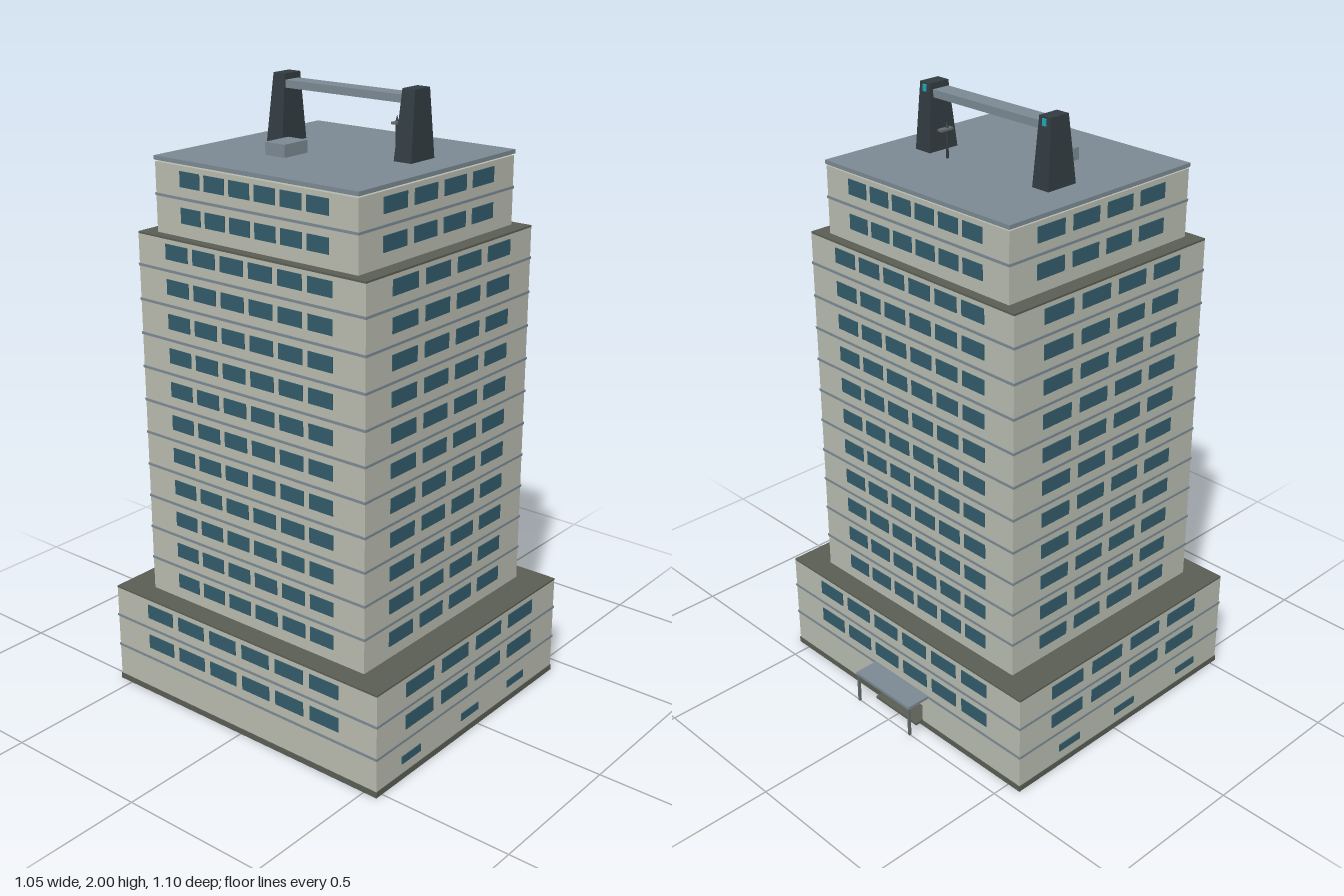
import * as THREE from 'three';

const mat = (name, color) => Object.assign(new THREE.MeshStandardMaterial({ color }), { name });

export function createModel() {
  const wall = mat('concrete', 0xb9bcb0);
  const ledge = mat('olive stone', 0x5a5e54);
  const steel = mat('blue grey metal', 0x7c8a93);
  const glass = mat('window glass', 0x335c6b);
  const dark = mat('dark metal', 0x323c42);
  const post = mat('grey metal', 0x666b6c);
  const glow = mat('cyan light', 0x22a9b8);

  const root = new THREE.Group();
  root.name = 'officeTower';
  const CX = -0.044; // the tower stands off-centre, leaving room for the canopy

  const add = (name, geometry, material, parent = root) => {
    const m = new THREE.Mesh(geometry, material);
    m.name = name;
    parent.add(m);
    return m;
  };
  // Box given by its min and max on each axis
  const box = (name, material, x0, x1, y0, y1, z0, z1, parent) => {
    const m = add(name, new THREE.BoxGeometry(x1 - x0, y1 - y0, z1 - z0), material, parent);
    m.position.set((x0 + x1) / 2, (y0 + y1) / 2, (z0 + z1) / 2);
    return m;
  };
  const slab = (name, material, w, d, y0, y1, parent) =>
    box(name, material, CX - w / 2, CX + w / 2, y0, y1, -d / 2, d / 2, parent);

  // Stepped tiers: width, depth, bottom, top, first and last floor
  const tiers = [
    { name: 'base', w: 0.962, d: 1.094, y0: 0.12, y1: 0.348, f0: 0, f1: 1 },
    { name: 'shaft', w: 0.819, d: 0.884, y0: 0.348, y1: 1.556, f0: 2, f1: 12 },
    { name: 'crown', w: 0.755, d: 0.779, y0: 1.556, y1: 1.778, f0: 13, f1: 14 },
  ];
  const PITCH = 0.11;

  for (const t of tiers) {
    const g = new THREE.Group();
    g.name = t.name;
    root.add(g);
    slab('walls', wall, t.w, t.d, t.y0, t.y1 - 0.006, g);
    if (t.name !== 'crown') slab('setbackLedge', ledge, t.w, t.d, t.y1 - 0.006, t.y1, g);

    for (let f = t.f0; f <= t.f1; f++) {
      const y = 0.192 + f * PITCH;
      // Floor line under each storey
      if (f === t.f0 ? f === 0 : true) {
        const by = 0.1305 + f * 0.1102;
        slab('floorBand', steel, t.w + 0.005, t.d + 0.005, by - 0.004, by + 0.004, g);
      }
      // Four windows on front and back
      for (let i = 0; i < 4; i++) {
        const x = CX + (i - 1.5) * 0.189 * t.w, h = 0.0718 * t.w;
        for (const s of [-1, 1]) {
          const z = s * t.d / 2;
          box('window', glass, x - h, x + h, y - 0.024, y + 0.024, z - 0.003, z + 0.003, g);
        }
      }
      // Six windows on each side
      for (let i = 0; i < 6; i++) {
        const z = (i - 2.5) * 0.1265 * t.d, h = 0.051 * t.d;
        for (const s of [-1, 1]) {
          const x = CX + s * t.w / 2;
          box('window', glass, x - 0.003, x + 0.003, y - 0.024, y + 0.024, z - h, z + h, g);
        }
      }
    }
  }

  // Ground floor with a recessed entrance on the left side
  const X0 = CX - 0.481, X1 = CX + 0.481, D = 0.547;
  const plan = new THREE.Shape([
    [X0, -D], [X1, -D], [X1, -0.1], [X1 - 0.05, -0.1],
    [X1 - 0.05, 0.1], [X1, 0.1], [X1, D], [X0, D],
  ].map(([x, y]) => new THREE.Vector2(x, y)));
  const ground = new THREE.ExtrudeGeometry(plan, { depth: 0.1, bevelEnabled: false });
  ground.rotateX(-Math.PI / 2).translate(0, 0.02, 0);
  add('groundFloor', ground, wall);
  slab('plinth', ledge, 0.966, 1.098, 0, 0.02);
  for (const x of [-0.355, -0.046, 0.214])
    for (const z of [-D, D])
      box('basementWindow', glass, x - 0.047, x + 0.047, 0.054, 0.08, z - 0.003, z + 0.003);

  // Entrance canopy
  const canopy = new THREE.Group();
  canopy.name = 'entranceCanopy';
  root.add(canopy);
  box('canopyRoof', steel, X1, 0.522, 0.124, 0.134, -0.13, 0.13, canopy);
  box('canopyLight', glow, X1 + 0.004, 0.51, 0.119, 0.124, -0.1, 0.1, canopy);
  for (const z of [-0.125, 0.125])
    box('canopyPost', post, 0.512, 0.52, 0.02, 0.124, z - 0.004, z + 0.004, canopy);
  box('doorStep', ledge, X1, 0.466, 0.014, 0.022, -0.1, 0.1, canopy);

  // Roof
  slab('roof', steel, 0.76, 0.784, 1.777, 1.79);
  box('roofUnit', steel, -0.209, -0.105, 1.79, 1.829, -0.138, -0.061);

  // Tapered pylons joined by a beam
  const taper = (x0, x1, tx0, tx1, hz, thz, y0, y1) => {
    const g = new THREE.BoxGeometry(1, 1, 1).toNonIndexed();
    const p = g.attributes.position;
    for (let i = 0; i < p.count; i++) {
      const top = p.getY(i) > 0, r = p.getX(i) > 0;
      p.setXYZ(i, top ? (r ? tx1 : tx0) : (r ? x1 : x0), top ? y1 : y0,
        Math.sign(p.getZ(i)) * (top ? thz : hz));
    }
    g.computeVertexNormals();
    return g;
  };
  for (const s of [-1, 1]) {
    const pylon = new THREE.Group();
    pylon.name = 'pylon';
    pylon.position.z = s * 0.249;
    root.add(pylon);
    add('pylonBody', taper(-0.043, 0.071, -0.017, 0.055, 0.032, 0.023, 1.79, 2), dark, pylon);
    box('pylonLight', glow, 0.054, 0.06, 1.973, 1.994, -0.007, 0.007, pylon);
  }
  box('beam', steel, -0.016, 0.046, 1.957, 1.981, -0.226, 0.226);

  // Mast with a short arm
  const mast = add('mast', new THREE.CylinderGeometry(0.004, 0.004, 0.09, 8), dark);
  mast.position.set(0.063, 1.835, 0.147);
  const tip = add('mastTip', new THREE.ConeGeometry(0.007, 0.03, 8), dark);
  tip.position.set(0.063, 1.89, 0.147);
  box('mastArm', post, 0.046, 0.093, 1.877, 1.884, 0.137, 0.156);

  return root;
}
